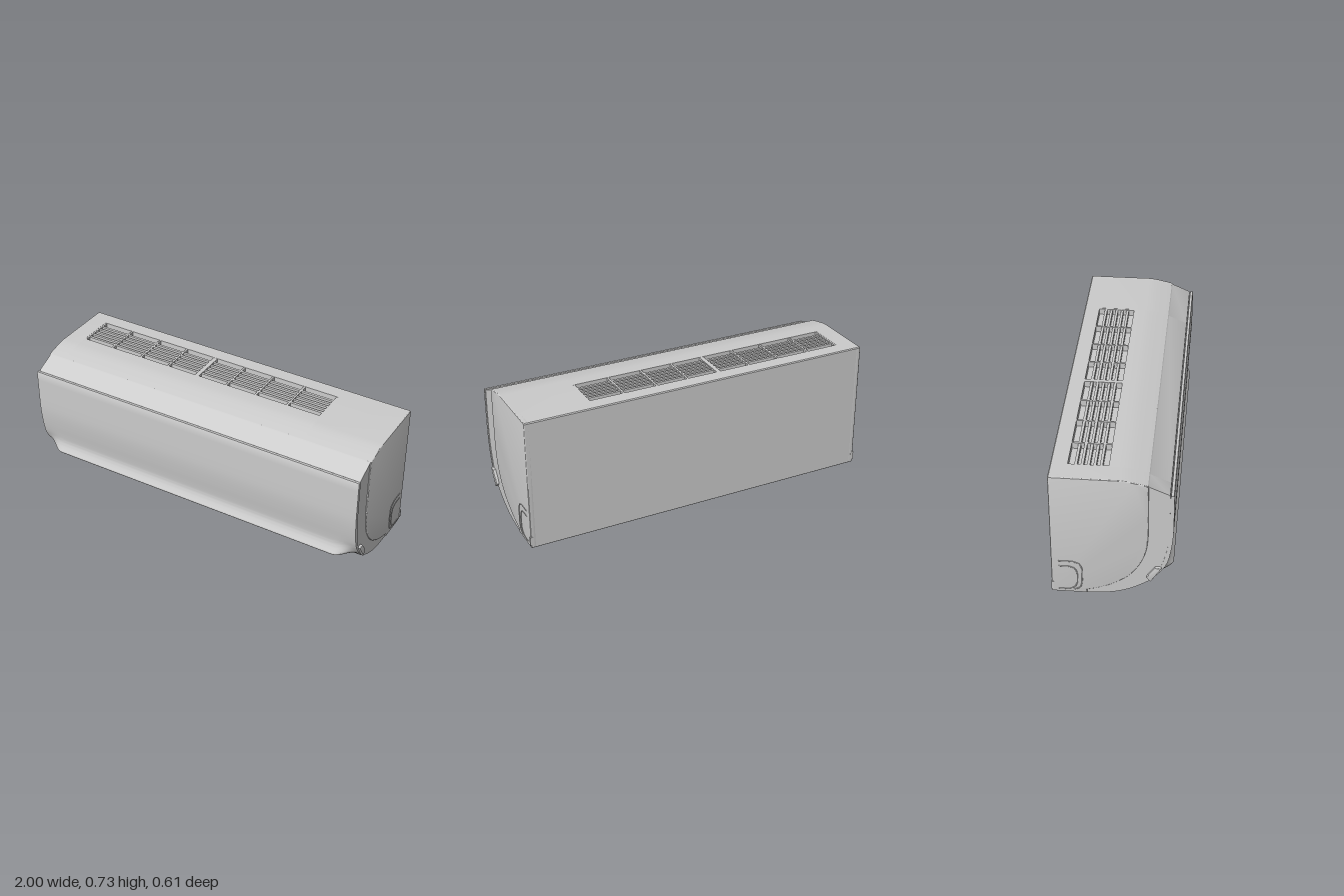
import * as THREE from 'three';
import { toCreasedNormals } from 'three/addons/utils/BufferGeometryUtils.js';

const grey = new THREE.MeshStandardMaterial({ color: 0xcccccc });
const v2 = (p) => new THREE.Vector2(p[0], p[1]);

// Smooth curve through [z, y] points, as a list of Vector2
const smooth = (pts, n) => new THREE.SplineCurve(pts.map(v2)).getPoints(n);

// Extrudes a [z, y] outline along x from x0 to x1
function extrudeX(outline, x0, x1, bevel = 0) {
  const g = new THREE.ExtrudeGeometry(new THREE.Shape(outline), {
    depth: x1 - x0 - 2 * bevel, bevelEnabled: bevel > 0, bevelThickness: bevel,
    bevelSize: bevel, bevelOffset: -bevel, bevelSegments: 3, curveSegments: 1,
  });
  g.rotateY(-Math.PI / 2).translate(x1 - bevel, 0, 0);
  return toCreasedNormals(g, 0.5);
}

// Front panel: sections along x, flared at the bottom, tucked in at both ends
function panelGeometry() {
  const top = [[0.287, 0.645], [0.289, 0.652], [0.302, 0.652], [0.305, 0.647]].map(v2);
  const flare = smooth([[0.305, 0.6], [0.305, 0.45], [0.302, 0.38], [0.294, 0.31], [0.285, 0.25],
    [0.281, 0.21], [0.286, 0.183], [0.297, 0.16], [0.305, 0.145], [0.297, 0.134], [0.275, 0.124],
    [0.25, 0.119], [0.22, 0.117], [0.2, 0.108]], 52);
  const tuck = smooth([[0.305, 0.6], [0.305, 0.45], [0.302, 0.38], [0.294, 0.31], [0.283, 0.25],
    [0.272, 0.217], [0.264, 0.2], [0.254, 0.184], [0.245, 0.17], [0.235, 0.157], [0.226, 0.146],
    [0.217, 0.135], [0.208, 0.123], [0.198, 0.11]], 52);
  const outer = (t) => [...top, ...flare.map((p, i) => p.clone().lerp(tuck[i], t))];
  const n = top.length + flare.length;
  const inner = smooth([[0.286, 0.645], [0.285, 0.5], [0.282, 0.38], [0.272, 0.3],
    [0.248, 0.21], [0.218, 0.15], [0.19, 0.106]], n - 1);

  const xs = [];
  for (let i = 0; i <= 12; i++) xs.push(-0.988 + i * 0.013);
  for (let i = 12; i >= 0; i--) xs.push(0.988 - i * 0.013);
  const pos = [], idx = [];
  const quad = (a, b, c, d) => idx.push(a, b, c, b, d, c);
  for (const x of xs) {
    const t = THREE.MathUtils.smoothstep(Math.abs(x), 0.87, 0.988);
    for (const p of [...outer(t), ...[...inner].reverse()]) pos.push(x, p.y, p.x);
  }
  const m = 2 * n, last = (xs.length - 1) * m;
  for (let i = 0; i < xs.length - 1; i++) {
    for (let j = 0; j < m; j++) {
      const a = i * m + j, b = i * m + (j + 1) % m;
      quad(a, b, a + m, b + m);
    }
  }
  // End caps join outer and inner curves
  for (let k = 0; k < n - 1; k++) {
    const o = k, i = m - 1 - k;
    quad(o, i, o + 1, i - 1);
    quad(last + o, last + o + 1, last + i, last + i - 1);
  }
  const g = new THREE.BufferGeometry();
  g.setAttribute('position', new THREE.Float32BufferAttribute(pos, 3));
  g.setIndex(idx);
  return toCreasedNormals(g, 0.6);
}

export function createModel() {
  const model = new THREE.Group();
  const add = (name, geo, parent = model) => {
    const mesh = new THREE.Mesh(geo, grey);
    mesh.name = name;
    parent.add(mesh);
    return mesh;
  };
  const box = (name, x0, x1, y0, y1, z0, z1, parent) =>
    add(name, new THREE.BoxGeometry(x1 - x0, y1 - y0, z1 - z0), parent)
      .position.set((x0 + x1) / 2, (y0 + y1) / 2, (z0 + z1) / 2);
  const group = (name) => {
    const g = new THREE.Group();
    g.name = name;
    model.add(g);
    return g;
  };

  // Casing: solid ends, middle length with grille pocket and air outlet
  const back = [[-0.125, 0], [-0.302, 0], [-0.305, 0.003], [-0.305, 0.725], [-0.3, 0.73]].map(v2);
  const crown = [[0.04, 0.73], [0.075, 0.727], [0.11, 0.72], [0.15, 0.711], [0.177, 0.704],
    [0.183, 0.697], [0.278, 0.655], [0.284, 0.648]].map(v2);
  const front = smooth([[0.285, 0.6], [0.285, 0.5], [0.282, 0.38], [0.272, 0.3],
    [0.248, 0.21], [0.218, 0.15], [0.19, 0.105]], 30);
  const belly = smooth([[0.185, 0.099], [0.15, 0.075], [0.1, 0.046], [0.05, 0.025],
    [0, 0.011], [-0.06, 0.003], [-0.12, 0]], 24);
  const pocket = [[-0.22, 0.73], [-0.22, 0.695], [-0.02, 0.695], [-0.02, 0.73]].map(v2);
  const outlet = [[0.165, 0.118], [0.1, 0.15], [0, 0.145], [-0.05, 0.1], [-0.03, 0.0065],
    [-0.06, 0.003], [-0.12, 0]].map(v2);
  const solid = [...back, ...crown, ...front, ...belly];
  const x0 = -0.885, x1 = 0.61;
  add('casingRight', extrudeX(solid, -0.985, x0));
  add('casingLeft', extrudeX(solid, x1, 0.985));
  add('casingMiddle', extrudeX([...back, ...pocket, ...crown, ...front, ...outlet], x0, x1));

  // Raised end plates with a soft edge
  const plate = [...back, ...crown.slice(0, 5),
    ...smooth([[0.181, 0.69], [0.181, 0.5], [0.18, 0.37], [0.167, 0.28], [0.135, 0.2],
      [0.08, 0.125], [0, 0.068], [-0.07, 0.036], [-0.125, 0.021]], 40)];
  const clip = [[0.25, 0.198], [0.217, 0.198], [0.187, 0.155], [0.174, 0.132], [0.195, 0.107]].map(v2);
  const mirrorX = (name, outline, a, b, bevel) => {
    add(name + 'Left', extrudeX(outline, a, b, bevel));
    add(name + 'Right', extrudeX(outline, -b, -a, bevel));
  };
  mirrorX('endPlate', plate, 0.96, 0.991, 0.006);
  mirrorX('sideClip', clip, 0.96, 1.0, 0.003);

  add('frontPanel', panelGeometry());

  // Top intake grille: long slats and cross ribs
  const grille = group('intakeGrille');
  for (let i = 0; i < 5; i++) {
    const z = -0.181 + i * 0.031;
    box('grilleSlat', x0, x1, 0.7, 0.727, z - 0.007, z + 0.007, grille);
  }
  [-0.881, -0.7, -0.51, -0.33, -0.145, 0.04, 0.22, 0.41, 0.605].forEach((x, i) => {
    const w = i === 4 ? 0.012 : 0.005;
    box('grilleRib', x - w, x + w, 0.695, 0.729, -0.22, -0.02, grille);
  });

  // Air outlet: steering vanes, cross bar and curved flap
  const vents = group('airOutlet');
  [-0.84, -0.58, -0.4, -0.23, -0.13, -0.05, 0.12, 0.3, 0.48, 0.58].forEach((x) =>
    box('vane', x - 0.004, x + 0.004, x === -0.13 ? 0.05 : 0.085, 0.145, 0.03, 0.1, vents));
  box('outletBar', x0, x1, 0.082, 0.09, 0.04, 0.055, vents);
  const flap = [...smooth([[0.182, 0.039], [0.16, 0.038], [0.11, 0.042], [0.06, 0.03], [0, 0.012]], 16),
    ...smooth([[0, 0.022], [0.06, 0.045], [0.11, 0.051], [0.16, 0.046], [0.182, 0.043]], 16)];
  add('flap', extrudeX(flap, -0.87, 0.605), vents);

  // Display cover and receiver window on the lower front
  const skin = belly.slice(1, 15);
  const cover = [...skin, ...[...skin].reverse().map((p) => new THREE.Vector2(p.x + 0.0015, p.y - 0.003))];
  add('displayCover', extrudeX(cover, 0.87, 0.98));
  const eye = add('receiverWindow', new THREE.SphereGeometry(1, 24, 12));
  eye.scale.set(0.04, 0.005, 0.018);
  eye.rotation.x = -0.54;
  eye.position.set(0.925, 0.057, 0.126);

  // Pipe knock-out outlines: double rounded ridges, on both ends and underneath
  const ridge = (pts) => new THREE.TubeGeometry(
    new THREE.CatmullRomCurve3(pts.map((p) => new THREE.Vector3(...p)), false, 'catmullrom', 0.3), 48, 0.003, 6);
  const outerLoop = [[-0.268, 0.205], [-0.2, 0.205], [-0.165, 0.192], [-0.15, 0.16],
    [-0.15, 0.07], [-0.162, 0.035], [-0.19, 0.02]];
  const innerLoop = [[-0.268, 0.172], [-0.215, 0.172], [-0.186, 0.16], [-0.174, 0.13],
    [-0.174, 0.07], [-0.186, 0.04], [-0.215, 0.022], [-0.268, 0.022]];
  const knockOuts = group('pipeKnockOuts');
  for (const s of [1, -1]) {
    for (const loop of [outerLoop, innerLoop]) {
      add('sideKnockOut', ridge(loop.map(([z, y]) => [s * 0.991, y, z])), knockOuts);
      add('bottomKnockOut', ridge(loop.map(([z, y]) => [s * (0.92 - y), 0.002, z])), knockOuts);
    }
    // Rear corner tabs
    box('cornerTab', s * 0.985 - 0.01, s * 0.985 + 0.01, 0.018, 0.066, -0.306, -0.294);
  }
  return model;
}
